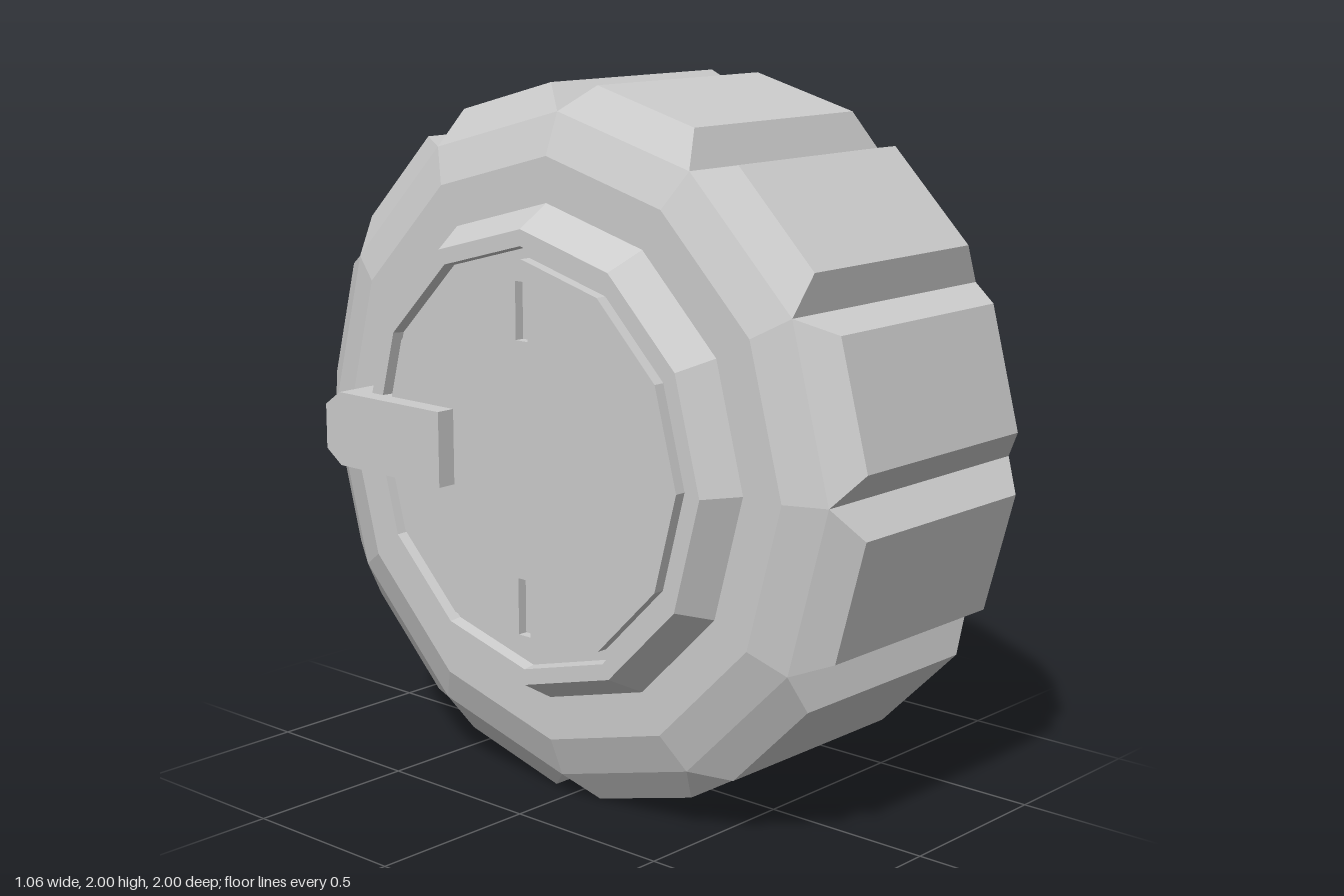
import * as THREE from 'three';

const COUNT = 12; // lobes round the wheel
const material = new THREE.MeshStandardMaterial({ color: 0xcccccc, flatShading: true });

function addMesh(parent, name, geometry) {
  const mesh = new THREE.Mesh(geometry, material);
  mesh.name = name;
  parent.add(mesh);
  return mesh;
}

// Ring of points about the x axis: each lobe has two corners with a notch between.
function ring(x, r, notchX = x, notchR = r, spread = 0) {
  const points = [];
  for (let k = 0; k < COUNT; k++) {
    for (const side of [-1, 0, 1]) {
      const a = (k / COUNT) * Math.PI * 2 + side * spread;
      const radius = side === 0 ? notchR : r;
      points.push(new THREE.Vector3(side === 0 ? notchX : x, radius * Math.cos(a), radius * Math.sin(a)));
    }
  }
  return points;
}

// Joins successive rings, running from +x to -x.
function skin(rings) {
  const positions = [];
  const tri = (a, b, c) => {
    const area = new THREE.Triangle(a, b, c).getArea();
    if (area > 1e-7) for (const p of [a, b, c]) positions.push(p.x, p.y, p.z);
  };
  for (let i = 0; i < rings.length - 1; i++) {
    const near = rings[i], far = rings[i + 1];
    for (let j = 0; j < near.length; j++) {
      const n = (j + 1) % near.length;
      tri(near[j], far[j], far[n]);
      tri(near[j], far[n], near[n]);
    }
  }
  const geometry = new THREE.BufferGeometry();
  geometry.setAttribute('position', new THREE.Float32BufferAttribute(positions, 3));
  geometry.computeVertexNormals();
  return geometry;
}

// Extrudes a shape drawn in (z, y) towards -x, starting at the given x.
function extrudeSide(shape, x, depth) {
  return new THREE.ExtrudeGeometry(shape, { depth, bevelEnabled: false })
    .rotateY(-Math.PI / 2).translate(x, 0, 0);
}

const points2 = (list) => list.map(([a, b]) => new THREE.Vector2(a, b));

export function createModel() {
  const model = new THREE.Group();
  model.name = 'wheel';
  const body = new THREE.Group();
  body.name = 'wheelParts';
  body.position.y = 1; // axle height
  model.add(body);

  // Notched body: flat outer face, chamfered lobes, two-step shoulder to the hub
  const spread = THREE.MathUtils.degToRad(4.9);
  addMesh(body, 'notchedBody', skin([
    ring(0.527, 0),
    ring(0.527, 0.842),
    ring(0.4, 1.003, 0.465, 0.93, spread),
    ring(-0.265, 1.003, -0.33, 0.93, spread),
    ring(-0.33, 0.93),
    ring(-0.375, 0.815),
    ring(-0.375, 0.69),
  ]));

  // Tapered hub rim with a narrow groove inside it
  const profile = points2([[0.69, 0.375], [0.63, 0.475], [0.585, 0.475], [0.58, 0.44], [0.54, 0.44]]);
  addMesh(body, 'hubRim', new THREE.LatheGeometry(profile, COUNT).rotateZ(Math.PI / 2));

  // Hub plate with two upright slots
  const plate = new THREE.Shape();
  for (let k = 0; k < COUNT; k++) {
    const a = (k / COUNT) * Math.PI * 2;
    plate[k ? 'lineTo' : 'moveTo'](0.55 * Math.cos(a), 0.55 * Math.sin(a));
  }
  plate.closePath();
  for (const s of [-1, 1]) {
    const y = s * 0.41, w = 0.022, h = 0.08;
    plate.holes.push(new THREE.Path(points2([[-w, y - h], [-w, y + h], [w, y + h], [w, y - h]])));
  }
  addMesh(body, 'hubPlate', extrudeSide(plate, -0.438, 0.035));

  // Floor behind the slots
  addMesh(body, 'slotFloor', new THREE.BoxGeometry(0.02, 1, 0.1)).position.x = -0.435;

  // Handle reaching over the hub rim, its outer end chamfered above and below
  const handle = new THREE.Shape(points2([
    [-0.27, -0.107], [-0.27, 0.107], [-0.68, 0.107], [-0.74, 0.065], [-0.74, -0.065], [-0.68, -0.107],
  ]));
  addMesh(body, 'handle', extrudeSide(handle, -0.37, 0.16));

  return model;
}
